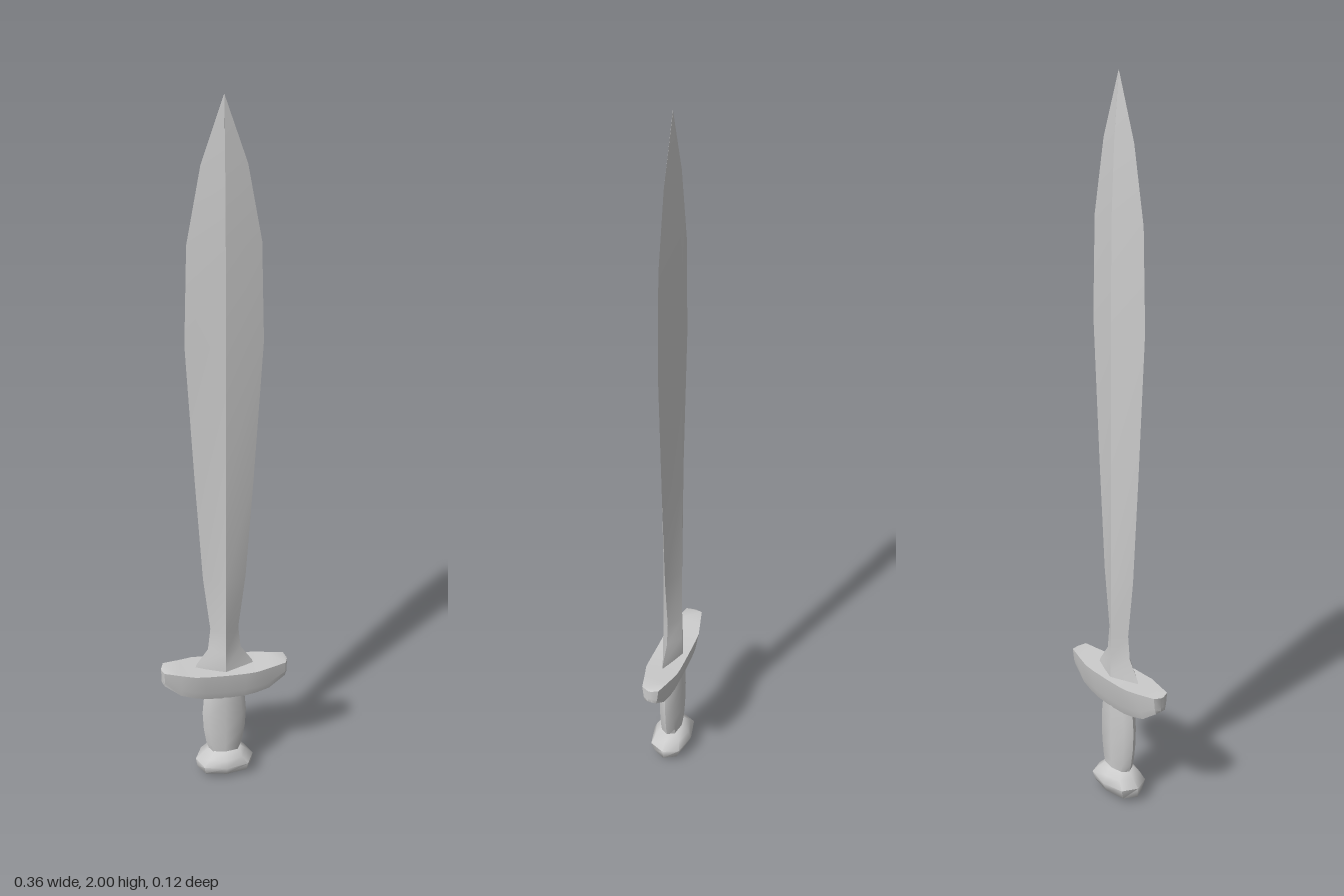
import * as THREE from 'three';
import { toCreasedNormals } from 'three/addons/utils/BufferGeometryUtils.js';

// Skin a stack of closed rings (arrays of [x, y, z]) and cap both ends with fans.
function loft(rings, crease) {
  const n = rings[0].length;
  const pos = rings.flat(2);
  const index = [];
  for (let i = 0; i < rings.length - 1; i++) {
    for (let j = 0; j < n; j++) {
      const a = i * n + j, b = i * n + (j + 1) % n;
      index.push(a, a + n, b, b, a + n, b + n);
    }
  }
  const last = (rings.length - 1) * n;
  for (let j = 1; j < n - 1; j++) {
    index.push(0, j, j + 1);
    index.push(last, last + j + 1, last + j);
  }
  const geometry = new THREE.BufferGeometry();
  geometry.setAttribute('position', new THREE.Float32BufferAttribute(pos, 3));
  geometry.setIndex(index);
  return toCreasedNormals(geometry, crease);
}

// Horizontal ring; a power below 1 makes the oval squarer.
function oval(y, rx, rz, sides, power = 1) {
  const bend = (v) => Math.sign(v) * Math.abs(v) ** power;
  return Array.from({ length: sides }, (_, j) => {
    const a = (j / sides) * Math.PI * 2;
    return [rx * bend(Math.cos(a)), y, rz * bend(Math.sin(a))];
  });
}

export function createModel() {
  const sword = new THREE.Group();
  sword.name = 'sword';
  const material = new THREE.MeshStandardMaterial({ color: 0xcccccc });
  const add = (name, geometry) => {
    const mesh = new THREE.Mesh(geometry, material);
    mesh.name = name;
    sword.add(mesh);
  };

  // Leaf-shaped blade with a diamond section: [height, half width, half thickness]
  const blade = [
    [0.37, 0.088, 0.031], [0.4, 0.078, 0.03], [0.45, 0.046, 0.029],
    [0.52, 0.039, 0.028], [0.69, 0.058, 0.027], [1.0, 0.077, 0.026],
    [1.39, 0.098, 0.025], [1.65, 0.09, 0.023], [1.84, 0.055, 0.014],
    [2.0, 0.0005, 0.0005],
  ];
  add('blade', loft(blade.map(([y, w, t]) => oval(y, w, t, 4)), 0.4));

  // Crossguard, lofted along x: [x, top, bottom, half depth at top, half depth at bottom]
  const halfGuard = [
    [0, 0.387, 0.29, 0.047, 0.027], [0.055, 0.388, 0.293, 0.047, 0.027],
    [0.087, 0.39, 0.299, 0.046, 0.026], [0.125, 0.392, 0.309, 0.036, 0.022],
    [0.171, 0.396, 0.345, 0.024, 0.016], [0.178, 0.393, 0.352, 0.004, 0.004],
  ];
  const guard = [
    ...halfGuard.slice(1).reverse().map(([x, ...rest]) => [-x, ...rest]),
    ...halfGuard,
  ];
  add('crossguard', loft(guard.map(([x, top, bottom, zt, zb]) => {
    const mid = bottom + (top - bottom) * 0.3;
    const zm = zb + (zt - zb) * 0.5;
    return [
      [x, mid, zm], [x, top, zt], [x, top, -zt],
      [x, mid, -zm], [x, bottom, -zb], [x, bottom, zb],
    ];
  }), 0.8));

  // Swelling oval grip: [height, half width, half depth]
  const grip = [
    [0.075, 0.043, 0.027], [0.11, 0.053, 0.028], [0.16, 0.06, 0.029],
    [0.22, 0.063, 0.029], [0.27, 0.059, 0.029], [0.31, 0.052, 0.028],
  ];
  add('grip', loft(grip.map(([y, w, d]) => oval(y, w, d, 8, 0.8)), 0.9));

  // Wide rounded pommel
  const pommel = [
    [0, 0.025, 0.018], [0.008, 0.064, 0.032], [0.018, 0.08, 0.046],
    [0.048, 0.084, 0.058], [0.07, 0.062, 0.049], [0.088, 0.043, 0.031],
  ];
  add('pommel', loft(pommel.map(([y, w, d]) => oval(y, w, d, 8, 0.8)), 0.9));

  return sword;
}
